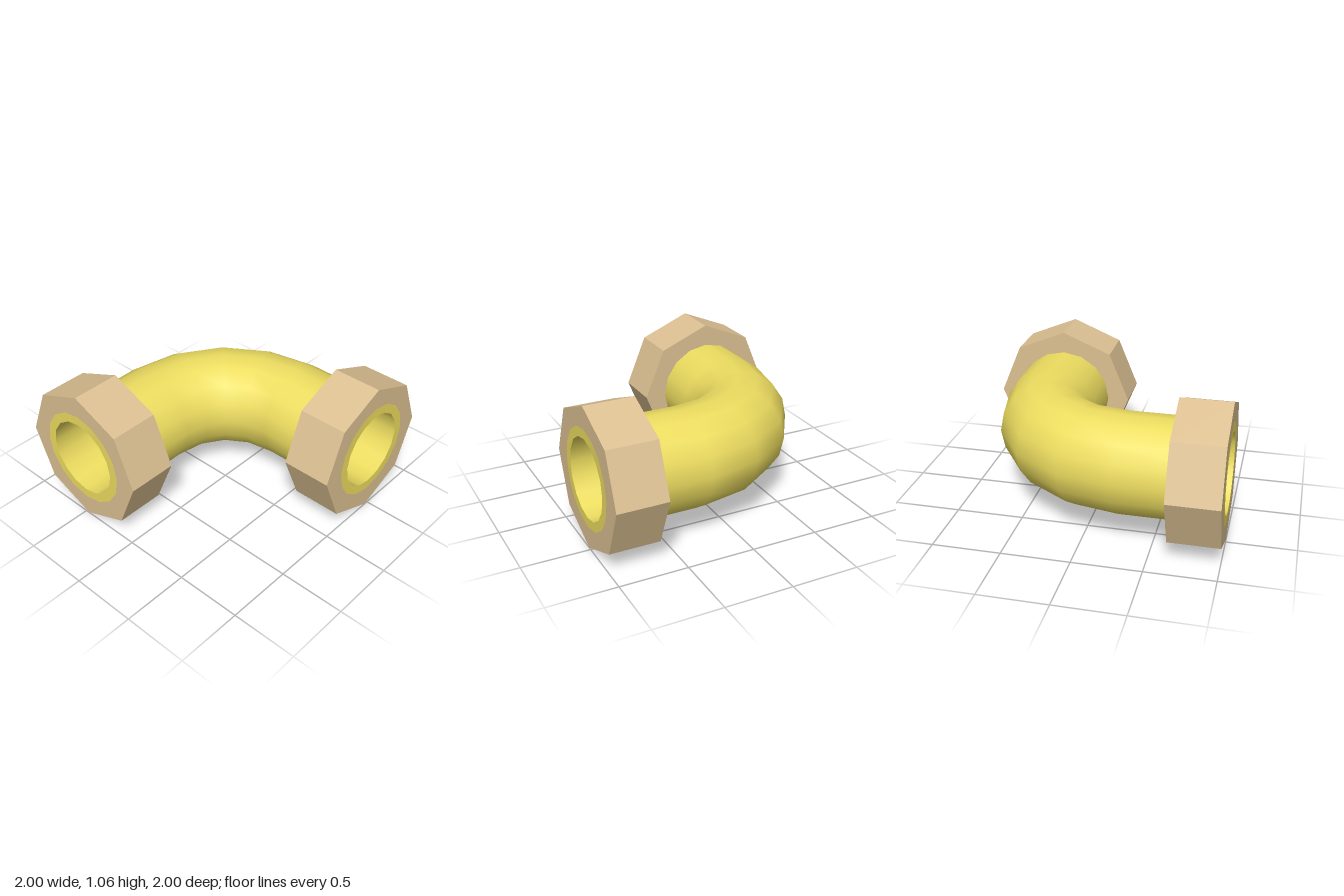
import * as THREE from 'three';

const AXIS = -0.472, HEIGHT = 0.53;       // pipe axis offset and height
const OUTER = 0.366, INNER = 0.295;       // pipe radii
const NUT_START = 0.63, END = 1;
const SIDES = 16;

// Pipe sections: centre x, centre z, turn angle in degrees
const half = [[AXIS, END, 0], [AXIS, 0.26, 4.7], [-0.417, -0.02, 22.5]];
const SECTIONS = [
  ...half,
  [-0.26, -0.26, 45],
  ...half.map(([x, z, a]) => [z, x, 90 - a]).reverse(),
];

// Smooth skin swept through the sections, facing outwards or inwards
function pipeSkin(radius, inward) {
  const positions = [], index = [];
  SECTIONS.forEach(([x, z, deg], i) => {
    const a = THREE.MathUtils.degToRad(deg);
    for (let j = 0; j < SIDES; j++) {
      const t = (j / SIDES) * Math.PI * 2;
      const side = radius * Math.cos(t);
      positions.push(x + side * Math.cos(a), HEIGHT + radius * Math.sin(t), z + side * Math.sin(a));
      if (i === SECTIONS.length - 1) continue;
      const p = i * SIDES + j, q = i * SIDES + (j + 1) % SIDES;
      const r = p + SIDES, s = q + SIDES;
      if (inward) index.push(p, q, r, q, s, r);
      else index.push(p, r, q, q, r, s);
    }
  });
  const geometry = new THREE.BufferGeometry();
  geometry.setAttribute('position', new THREE.Float32BufferAttribute(positions, 3));
  geometry.setIndex(index);
  geometry.computeVertexNormals();
  return geometry;
}

function polygon(PathType, radius, sides) {
  const points = [];
  for (let i = 0; i < sides; i++) {
    const t = (i / sides) * Math.PI * 2;
    points.push(new THREE.Vector2(radius * Math.cos(t), radius * Math.sin(t)));
  }
  return new PathType(points);
}

export function createModel() {
  const model = new THREE.Group();
  model.name = 'pipeElbow';
  const pipeMaterial = new THREE.MeshStandardMaterial({ color: 0xeddd60 });
  const nutMaterial = new THREE.MeshStandardMaterial({ color: 0xdcc092, flatShading: true });

  const add = (parent, name, geometry, material) => {
    const mesh = new THREE.Mesh(geometry, material);
    mesh.name = name;
    parent.add(mesh);
    return mesh;
  };

  // Hollow bent pipe
  add(model, 'pipeOuterWall', pipeSkin(OUTER, false), pipeMaterial);
  add(model, 'pipeInnerWall', pipeSkin(INNER, true), pipeMaterial);

  // Octagonal nut around each mouth, with the pipe rim flush in its face
  const nutShape = polygon(THREE.Shape, HEIGHT, 8);
  nutShape.holes.push(polygon(THREE.Path, OUTER, SIDES));
  const depth = END - NUT_START;
  const nutGeometry = new THREE.ExtrudeGeometry(nutShape, { depth, bevelEnabled: false });
  const rimGeometry = new THREE.RingGeometry(INNER, OUTER, SIDES);

  for (const [name, x, z, turn] of [
    ['frontMouth', AXIS, NUT_START, 0],
    ['leftMouth', NUT_START, AXIS, Math.PI / 2],
  ]) {
    const mouth = new THREE.Group();
    mouth.name = name;
    mouth.position.set(x, HEIGHT, z);
    mouth.rotation.y = turn;
    add(mouth, 'nut', nutGeometry, nutMaterial);
    add(mouth, 'pipeRim', rimGeometry, pipeMaterial).position.z = depth;
    model.add(mouth);
  }
  return model;
}
